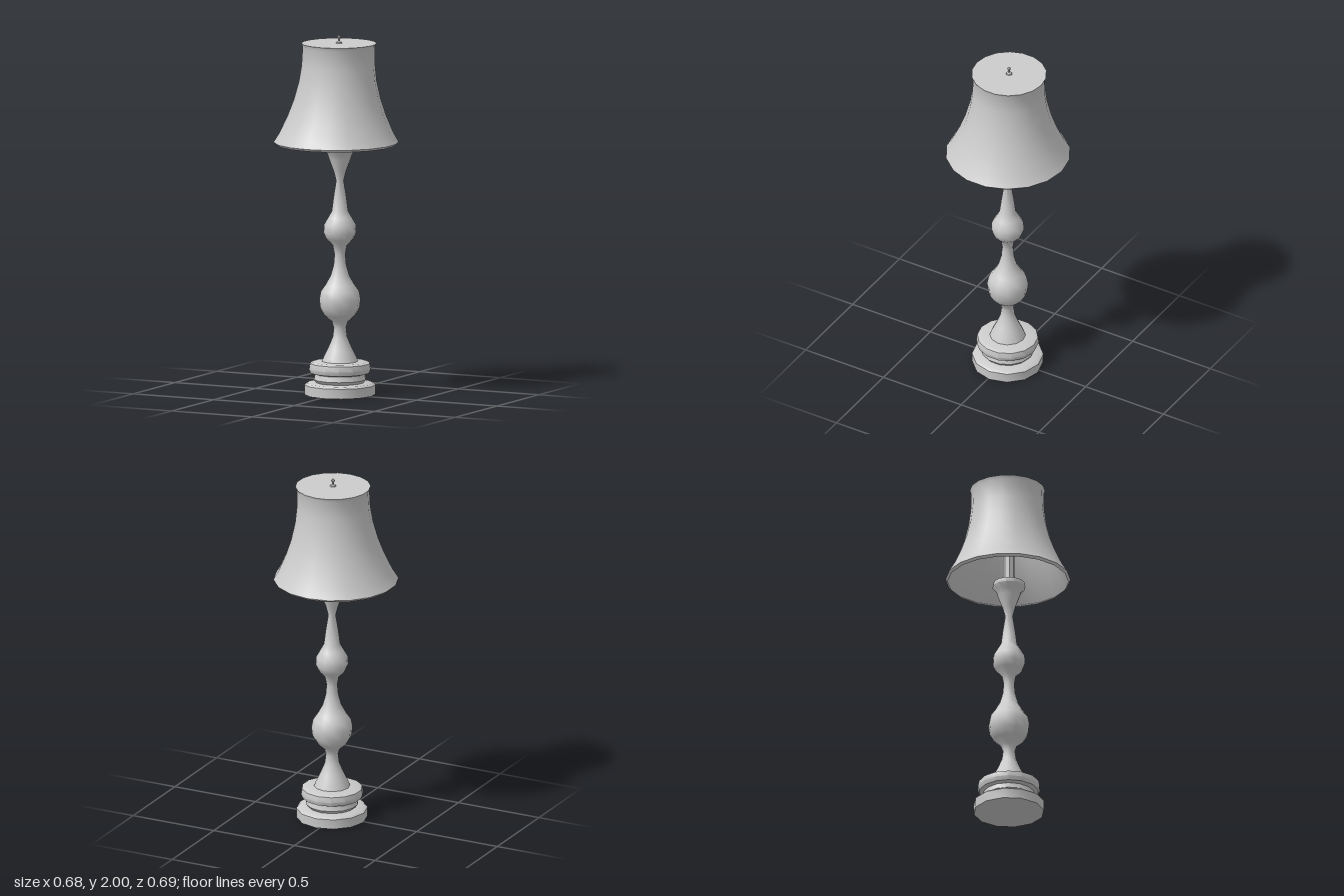
import * as THREE from 'three';
import { toCreasedNormals } from 'three/addons/utils/BufferGeometryUtils.js';

const material = new THREE.MeshStandardMaterial({ color: 0xcccccc, side: THREE.DoubleSide });

// Turned part from [radius, height] pairs
function turned(name, profile, sides, crease = 0.7) {
  const points = profile.map(([r, y]) => new THREE.Vector2(r, y));
  const geometry = toCreasedNormals(new THREE.LatheGeometry(points, sides), crease);
  const mesh = new THREE.Mesh(geometry, material);
  mesh.name = name;
  return mesh;
}

export function createModel() {
  const lamp = new THREE.Group();
  lamp.name = 'tableLamp';

  // Foot, collar and baluster stem share a slightly offset axis
  const stand = new THREE.Group();
  stand.name = 'stand';
  stand.position.set(0.02, 0, -0.01);
  stand.add(turned('foot', [
    [0, 0], [0.195, 0], [0.197, 0.055], [0.185, 0.065], [0.13, 0.068],
  ], 12));
  stand.add(turned('collar', [
    [0.13, 0.065], [0.147, 0.085], [0.14, 0.115], [0.165, 0.122], [0.174, 0.145],
    [0.168, 0.175], [0.15, 0.183], [0.09, 0.185],
  ], 14));
  stand.add(turned('stem', [
    [0.1, 0.182], [0.09, 0.21], [0.065, 0.26], [0.04, 0.32], [0.034, 0.37],
    [0.045, 0.405], [0.085, 0.44], [0.108, 0.48], [0.114, 0.53], [0.105, 0.575],
    [0.08, 0.61], [0.052, 0.66], [0.035, 0.72], [0.03, 0.78], [0.04, 0.83],
    [0.075, 0.865], [0.09, 0.9], [0.088, 0.945], [0.065, 0.985], [0.045, 1.02],
    [0.035, 1.1], [0.021, 1.19], [0.034, 1.24], [0.06, 1.31], [0.07, 1.34],
    [0.092, 1.365], [0.088, 1.39], [0.034, 1.395],
  ], 12, 0.9));
  // Rod that carries the shade
  stand.add(turned('rod', [[0.032, 1.39], [0.032, 1.95]], 8));
  lamp.add(stand);

  // Flared shade, its axis drifting from the lower rim to the top
  const shade = turned('shade', [
    [0.332, 1.392], [0.345, 1.405], [0.315, 1.455], [0.272, 1.55], [0.24, 1.64],
    [0.215, 1.74], [0.203, 1.83], [0.2, 1.935], [0.208, 1.953], [0, 1.953],
  ], 18);
  const p = shade.geometry.attributes.position;
  for (let i = 0; i < p.count; i++) {
    const t = (p.getY(i) - 1.39) / 0.563;
    p.setX(i, p.getX(i) + 0.012 * t);
    p.setZ(i, p.getZ(i) - 0.014 * t);
  }
  lamp.add(shade);

  // Small finial on the top
  const finial = turned('finial', [
    [0.018, 1.952], [0.016, 1.96], [0.006, 1.965], [0.006, 1.975], [0.011, 1.988], [0, 2],
  ], 6);
  finial.position.set(0.012, 0, -0.014);
  lamp.add(finial);

  return lamp;
}
